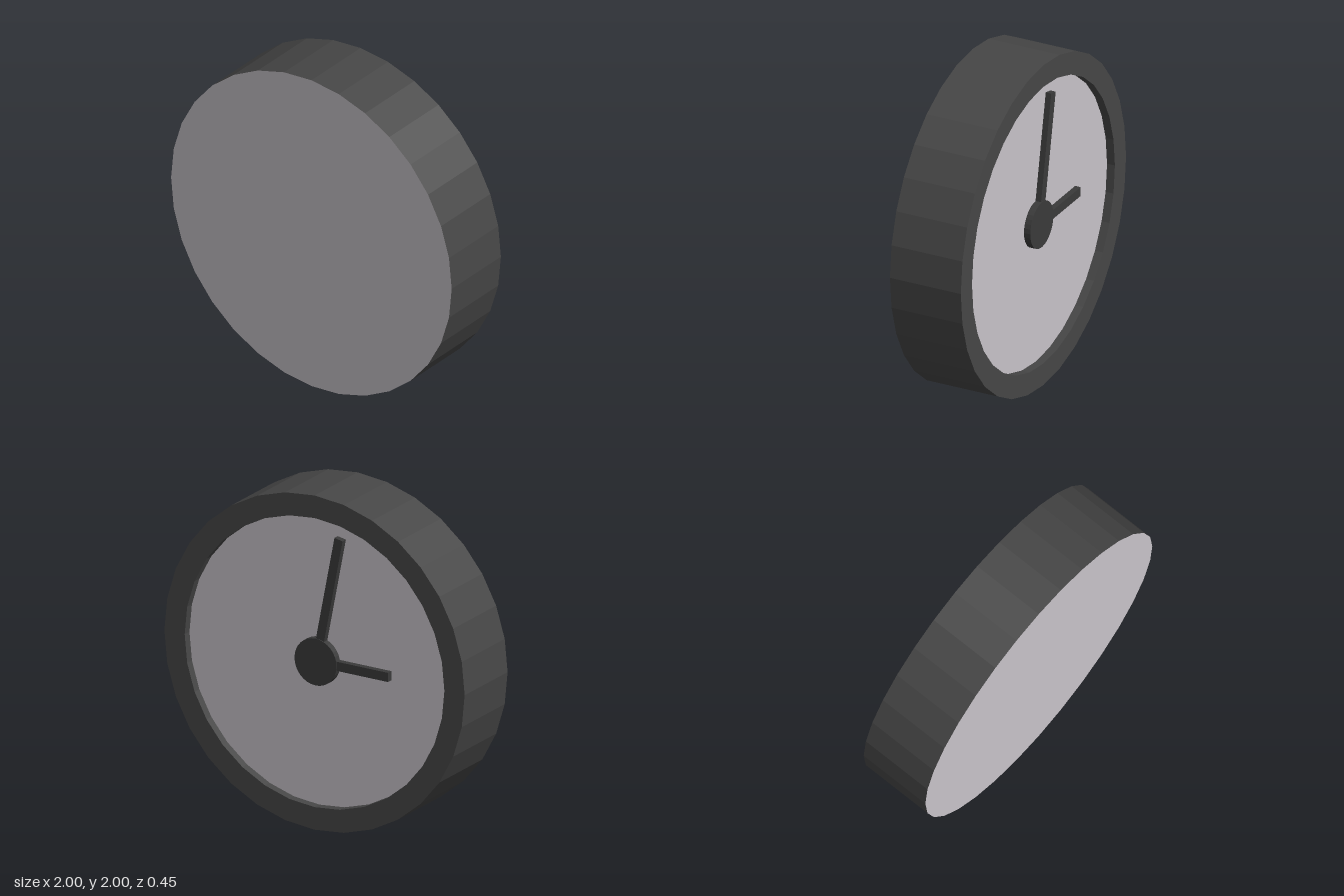
import * as THREE from 'three';

const SIDES = 32;
const HALF_DEPTH = 0.225;
const INNER_RADIUS = 0.865;
const FACE_Z = -0.175; // dial is recessed into the -z side
const HAND_Z = -0.21;  // outer surface of hands

export function createModel() {
  const dark = new THREE.MeshStandardMaterial({ color: 0x464646, flatShading: true });
  const black = new THREE.MeshStandardMaterial({ color: 0x3a3a3a, flatShading: true });
  const light = new THREE.MeshStandardMaterial({ color: 0xc8c3c9 });

  const clock = new THREE.Group();
  clock.name = 'wallClock';
  const add = (name, geometry, material, parent = clock) => {
    const mesh = new THREE.Mesh(geometry, material);
    mesh.name = name;
    parent.add(mesh);
    return mesh;
  };

  // Faceted case: outer wall, rim and inner wall of the recess
  const profile = [
    [1, -HALF_DEPTH], [1, HALF_DEPTH], [INNER_RADIUS, HALF_DEPTH], [INNER_RADIUS, -FACE_Z],
  ].map(([r, h]) => new THREE.Vector2(r, h));
  add('case', new THREE.LatheGeometry(profile, SIDES).rotateX(-Math.PI / 2), dark);

  // Flat plate closing the +z side
  add('plate', new THREE.CircleGeometry(1, SIDES), light).position.z = HALF_DEPTH;

  // Recessed dial, facing -z
  const dial = add('dial', new THREE.CircleGeometry(INNER_RADIUS, SIDES), light);
  dial.rotation.y = Math.PI;
  dial.position.z = FACE_Z;

  // Hands: bars running outward from the hub
  const hand = (name, length, angle) => {
    const depth = FACE_Z - HAND_Z;
    const bar = new THREE.BoxGeometry(0.055, length, depth).translate(0, length / 2, 0);
    const mesh = add(name, bar, black);
    mesh.position.z = (FACE_Z + HAND_Z) / 2;
    mesh.rotation.z = angle;
  };
  hand('minuteHand', 0.775, 0.195);
  hand('hourHand', 0.48, Math.PI / 2);

  // Round hub covering the joint of the hands
  const hubDepth = 0.04;
  const hub = add('hub', new THREE.CylinderGeometry(0.14, 0.14, hubDepth, SIDES).rotateX(Math.PI / 2), black);
  hub.position.z = FACE_Z - hubDepth / 2;

  clock.position.y = 1;
  const model = new THREE.Group();
  model.name = 'clock';
  model.add(clock);
  return model;
}
